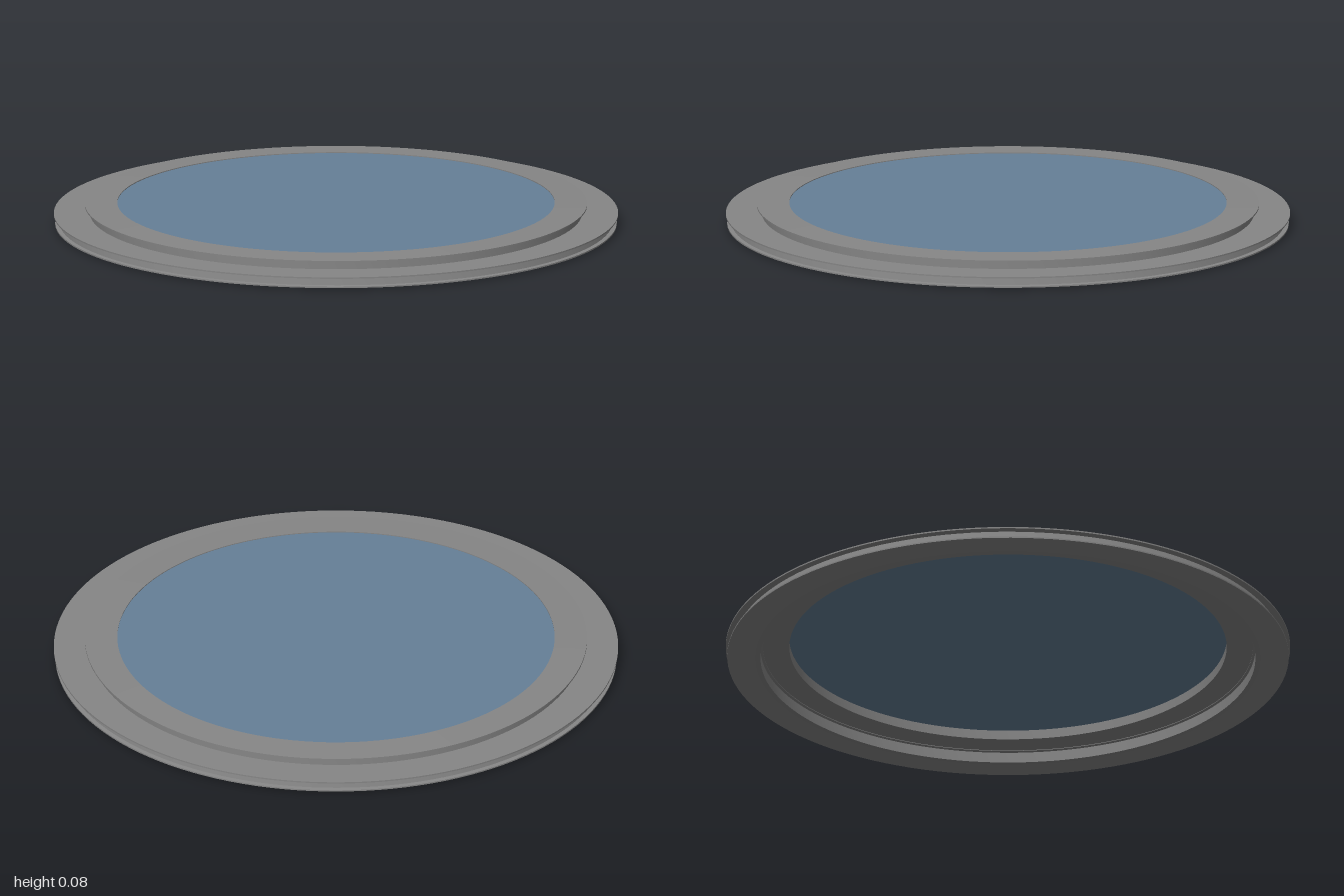
import * as THREE from 'three';
import { toCreasedNormals } from 'three/addons/utils/BufferGeometryUtils.js';

const SEGMENTS = 128;

// Revolves a closed profile of [radius, y] points, outer side running upward
function ring(name, profile, material) {
  const points = [...profile, profile[0]].map(([r, y]) => new THREE.Vector2(r, y));
  const geometry = toCreasedNormals(new THREE.LatheGeometry(points, SEGMENTS), 0.35);
  const mesh = new THREE.Mesh(geometry, material);
  mesh.name = name;
  return mesh;
}

export function createModel() {
  const group = new THREE.Group();
  group.name = 'roundWindow';
  const frameMaterial = new THREE.MeshStandardMaterial({ color: 0x868686 });
  const glassMaterial = new THREE.MeshStandardMaterial({ color: 0x668098 });

  // Wide base ring: thin lips above and below a recessed wall
  group.add(ring('baseRing', [
    [0.877, 0], [0.935, 0], [0.995, 0.006], [0.995, 0.011],
    [0.98, 0.013], [0.975, 0.039], [1, 0.041], [1, 0.046],
    [0.868, 0.046], [0.868, 0.041], [0.877, 0.038],
  ], frameMaterial));

  // Raised ring that holds the glass, with a lip over its wall
  group.add(ring('upperRing', [
    [0.775, 0.043], [0.872, 0.043], [0.872, 0.074],
    [0.89, 0.075], [0.89, 0.08], [0.775, 0.084],
  ], frameMaterial));

  // Flat pane, set just below the rim of the upper ring
  const pane = new THREE.Mesh(
    new THREE.CylinderGeometry(0.775, 0.775, 0.004, SEGMENTS), glassMaterial);
  pane.name = 'glassPane';
  pane.position.y = 0.079;
  group.add(pane);

  return group;
}
